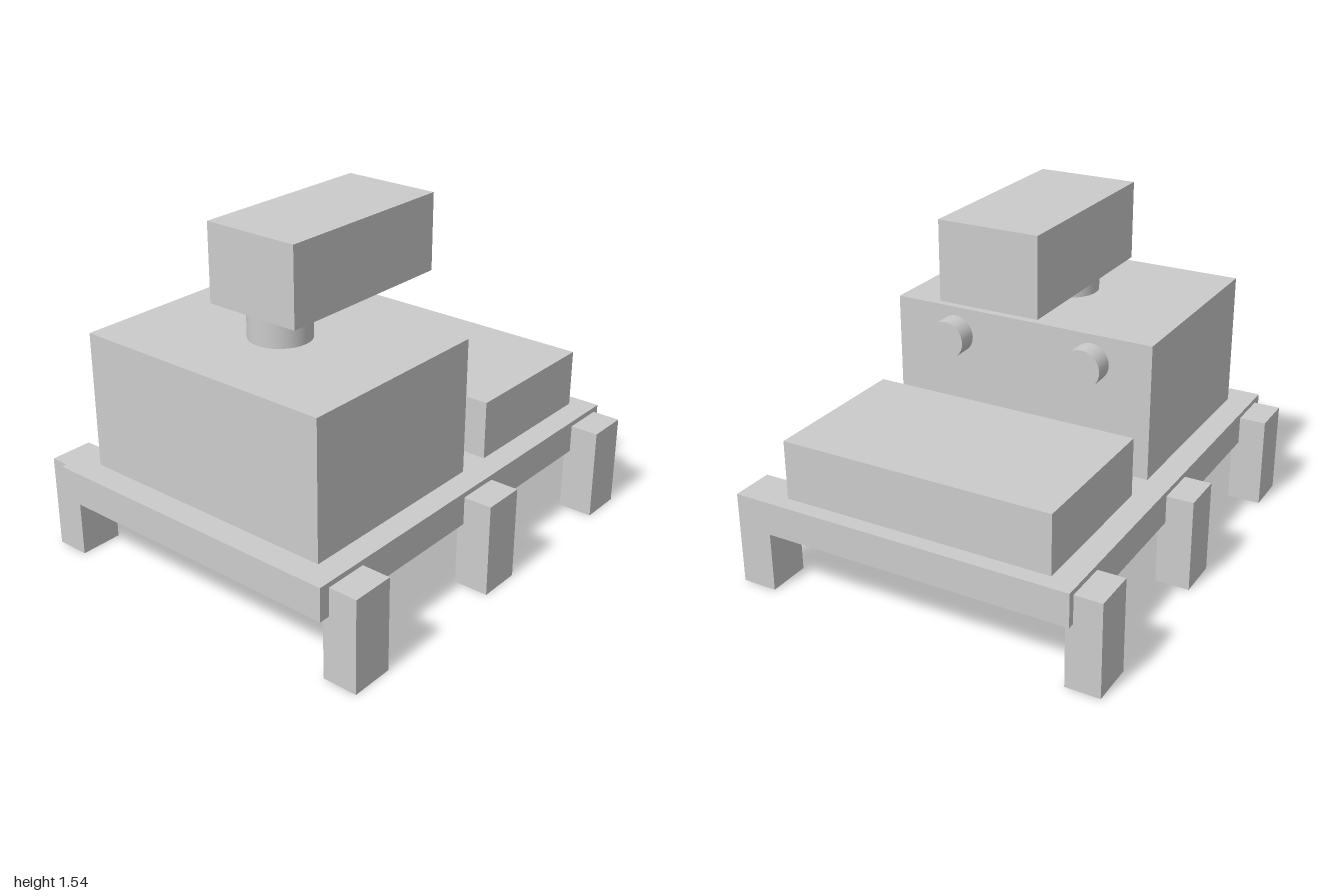
import * as THREE from 'three';

const material = new THREE.MeshStandardMaterial({ color: 0xcccccc });

export function createModel() {
  const model = new THREE.Group();

  const add = (name, geometry, x, y, z) => {
    const mesh = new THREE.Mesh(geometry, material);
    mesh.name = name;
    mesh.position.set(x, y, z);
    model.add(mesh);
    return mesh;
  };

  // Box given by its extents along each axis
  const box = (name, [x0, x1], [y0, y1], [z0, z1]) =>
    add(name, new THREE.BoxGeometry(x1 - x0, y1 - y0, z1 - z0),
      (x0 + x1) / 2, (y0 + y1) / 2, (z0 + z1) / 2);

  // Platform and the blocks standing on it
  box('platform', [-0.735, 0.72], [0.295, 0.445], [-1, 1]);
  box('body', [-0.622, 0.61], [0.445, 1.057], [-0.062, 0.883]);
  box('rearBlock', [-0.622, 0.61], [0.445, 0.71], [-0.928, -0.218]);

  // Head on a round neck
  add('neck', new THREE.CylinderGeometry(0.138, 0.138, 0.135, 32), 0, 1.1235, 0.402);
  box('head', [-0.233, 0.224], [1.19, 1.54], [-0.327, 0.565]);

  // Round knobs on the back of the body
  for (const x of [-0.343, 0.317]) {
    const knob = add('knob', new THREE.CylinderGeometry(0.085, 0.085, 0.09, 32), x, 0.932, -0.107);
    knob.rotation.x = Math.PI / 2;
  }

  // Three legs along each side
  for (const z of [0.85, -0.016, -0.869]) {
    const depth = [z - 0.099, z + 0.099];
    box('leftLeg', [0.69, 0.85], [0, 0.422], depth);
    box('rightLeg', [-0.857, -0.702], [0, 0.422], depth);
  }

  return model;
}
